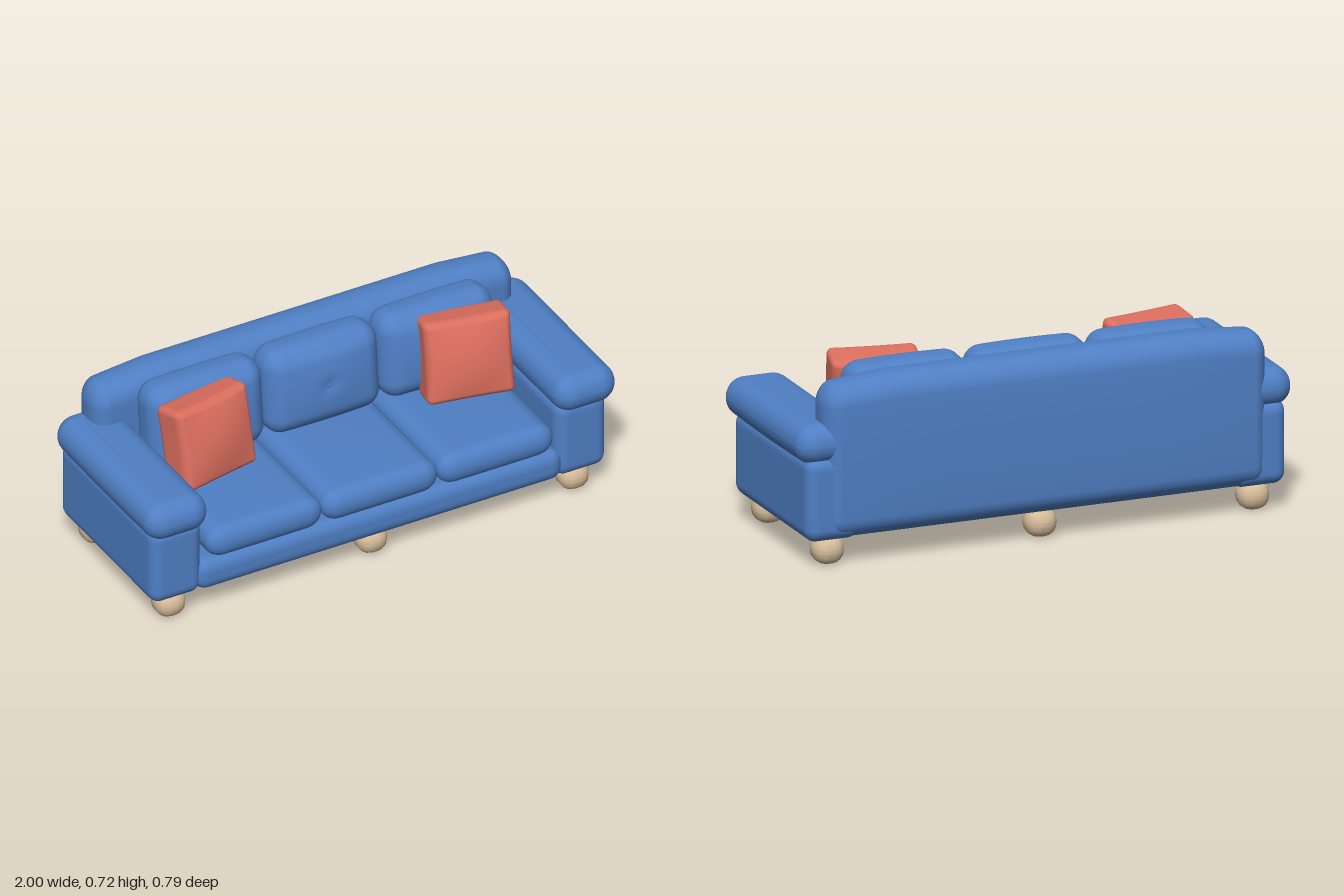
import * as THREE from 'three';
import { mergeVertices } from 'three/addons/utils/BufferGeometryUtils.js';

const fabric = new THREE.MeshStandardMaterial({ color: 0x4f7fc4 });
fabric.name = 'blue fabric';
const accent = new THREE.MeshStandardMaterial({ color: 0xdb6e5e });
accent.name = 'coral fabric';
const wood = new THREE.MeshStandardMaterial({ color: 0xd6bc9a });
wood.name = 'pale wood';

// Box with a separate rounding radius per axis; warp(v, u) may then shift each vertex
// (u is the position scaled to -1..1).
function softBox(half, radius, warp, n = 16) {
  const geo = new THREE.BoxGeometry(2, 2, 2, n, n, n);
  geo.deleteAttribute('normal');
  geo.deleteAttribute('uv');
  const pos = geo.attributes.position;
  const v = new THREE.Vector3();
  const u = new THREE.Vector3();
  const corner = new THREE.Vector3();
  for (let i = 0; i < pos.count; i++) {
    const t = [pos.getX(i), pos.getY(i), pos.getZ(i)];
    corner.fromArray(t.map((a) => Math.sign(a) * Math.tan(Math.max(0, Math.abs(a) - 0.5) * Math.PI / 2)));
    corner.normalize();
    const c = corner.toArray();
    v.fromArray(t.map((a, k) =>
      (half[k] - radius[k]) * THREE.MathUtils.clamp(a * 2, -1, 1) + c[k] * radius[k]));
    u.set(v.x / half[0], v.y / half[1], v.z / half[2]);
    if (warp) warp(v, u);
    pos.setXYZ(i, v.x, v.y, v.z);
  }
  const merged = mergeVertices(geo, 1e-5);
  merged.computeVertexNormals();
  return merged;
}

function add(parent, name, geometry, material, x, y, z) {
  const mesh = new THREE.Mesh(geometry, material);
  mesh.name = name;
  mesh.position.set(x, y, z);
  parent.add(mesh);
  return mesh;
}

const dome = (a, b) => Math.max(0, 1 - a * a) * Math.max(0, 1 - b * b);

export function createModel() {
  const sofa = new THREE.Group();
  sofa.name = 'sofa';

  // Base under the seat
  add(sofa, 'base', softBox([0.78, 0.065, 0.335], [0.05, 0.05, 0.04]), fabric, 0, 0.17, 0.025);

  // Backrest: fuller in the middle, dropping towards both ends
  const back = softBox([0.895, 0.295, 0.088], [0.06, 0.08, 0.075], (v, u) => {
    const k = Math.min(1, (0.895 - Math.abs(v.x)) / 0.15);
    if (u.y > 0) v.y += 0.032 * k * u.y;
    if (u.z < 0) v.z += 0.018 * k * u.z * Math.max(0, 1 - u.y * u.y * 0.7);
  });
  add(sofa, 'backrest', back, fabric, 0, 0.398, -0.29);

  // Seat and back cushions
  const seat = softBox([0.246, 0.064, 0.29], [0.07, 0.06, 0.05], (v, u) => {
    v.y += Math.sign(u.y) * 0.008 * dome(u.x, u.z);
  });
  const backCushion = softBox([0.243, 0.175, 0.085], [0.07, 0.075, 0.07], (v, u) => {
    if (u.z > 0) {
      v.z += 0.03 * dome(u.x, u.y) * u.z;
      v.z -= 0.014 * Math.exp(-(v.x * v.x + v.y * v.y) / 0.0008) * u.z;
    }
    v.y += 0.006 * u.y * Math.max(0, 1 - u.x * u.x);
  }, 24);
  const button = new THREE.SphereGeometry(0.009, 12, 8);
  button.scale(1, 1, 0.5);
  for (const x of [-0.493, 0, 0.493]) {
    add(sofa, 'seatCushion', seat, fabric, x, 0.305, 0.09);
    const cushion = add(sofa, 'backCushion', backCushion, fabric, x, 0.542, -0.14);
    cushion.rotation.x = -0.1;
    add(cushion, 'button', button, fabric, 0, 0, 0.101);
  }

  // Arms, throw pillows
  const armPanel = softBox([0.108, 0.165, 0.362], [0.045, 0.05, 0.05]);
  const armRoll = softBox([0.13, 0.08, 0.387], [0.075, 0.078, 0.07], (v, u) => {
    if (u.y < 0) v.y += 0.008 * u.z * u.z * -u.y;
  });
  const pillow = softBox([0.172, 0.167, 0.07], [0.025, 0.025, 0.03], (v, u) => {
    v.z += u.z * 0.032 * dome(u.x, u.y);
    v.x *= 1 - 0.02 * (1 - u.y * u.y);
    v.y *= 1 - 0.02 * (1 - u.x * u.x);
  });
  for (const s of [-1, 1]) {
    add(sofa, 'armPanel', armPanel, fabric, s * 0.862, 0.267, -0.008);
    add(sofa, 'armRoll', armRoll, fabric, s * 0.87, 0.475, 0.012);
    const throwPillow = add(sofa, 'throwPillow', pillow, accent, s * 0.55, 0.545, 0.01);
    throwPillow.rotation.set(-0.2, -s * 0.2, 0, 'YXZ');
  }

  // Rounded feet
  const foot = softBox([0.06, 0.056, 0.06], [0.05, 0.048, 0.05], null, 8);
  for (const x of [-0.86, 0, 0.86]) {
    for (const z of [0.27, -0.285]) add(sofa, 'foot', foot, wood, x, 0.056, z);
  }

  return sofa;
}
